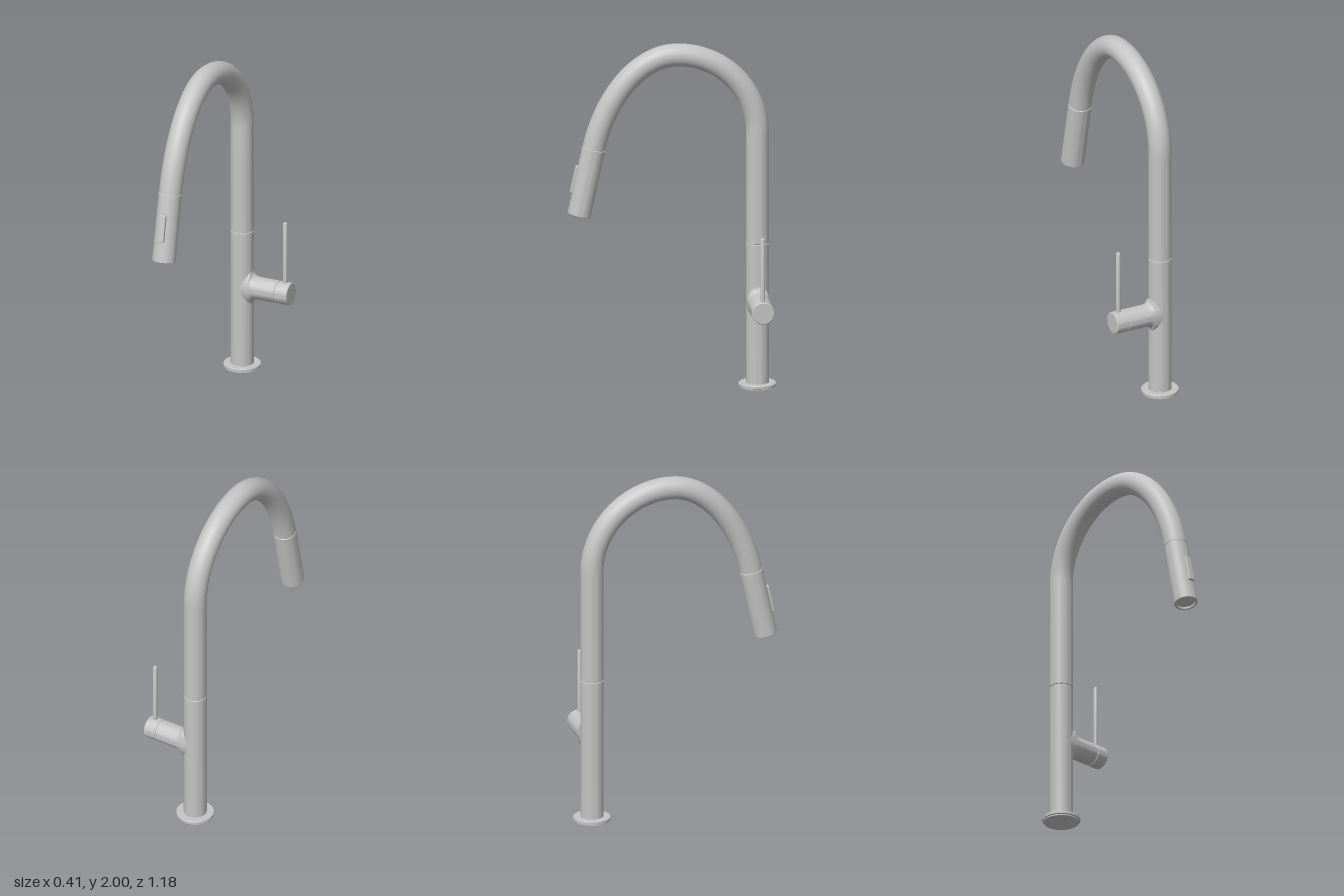
import * as THREE from 'three';
import { toCreasedNormals } from 'three/addons/utils/BufferGeometryUtils.js';
import { RoundedBoxGeometry } from 'three/addons/geometries/RoundedBoxGeometry.js';

const X = -0.101, Z = -0.48, R = 0.065; // column axis and pipe radius

export function createModel() {
  const group = new THREE.Group();
  const metal = new THREE.MeshStandardMaterial({ color: 0xc4c4c4 });
  metal.name = 'brushedMetal';

  const add = (name, geometry, parent = group) => {
    const mesh = new THREE.Mesh(geometry, metal);
    mesh.name = name;
    parent.add(mesh);
    return mesh;
  };
  const lathe = (profile) =>
    new THREE.LatheGeometry(profile.map(([r, y]) => new THREE.Vector2(r, y)), 48);
  const crease = (geometry) => toCreasedNormals(geometry, 0.6);
  // fine V-shaped seam at height y
  const seam = (r, y) => [[r, y - 0.003], [r - 0.004, y - 0.001], [r - 0.004, y + 0.001], [r, y + 0.003]];

  // Base flange with a small undercut
  add('baseFlange', crease(lathe([
    [0, 0], [0.1, 0], [0.1, 0.007], [0.107, 0.01], [0.107, 0.022], [0.103, 0.026], [0.05, 0.026],
  ]))).position.set(X, 0, Z);

  // Upright column, with the seam between body and swivel spout
  add('column', crease(lathe([
    [R, 0.02], ...seam(R, 0.835), [R, 1.475],
  ]))).position.set(X, 0, Z);

  // Spout: quarter arc up to the top, then a longer sweep down to the spray head
  const point = (z, y) => new THREE.Vector3(X, y, z);
  const spout = new THREE.CurvePath();
  spout.add(new THREE.CubicBezierCurve3(
    point(Z, 1.475), point(Z, 1.729), point(-0.274, 1.935), point(-0.02, 1.935)));
  spout.add(new THREE.CubicBezierCurve3(
    point(-0.02, 1.935), point(0.2, 1.935), point(0.386, 1.685), point(0.446, 1.408)));
  add('spout', new THREE.TubeGeometry(spout, 96, R, 48));

  // Pull-out spray head, built along its own axis from the outlet upwards
  const head = new THREE.Group();
  head.name = 'sprayHead';
  head.position.set(X, 1.022, 0.53);
  head.rotation.x = -0.2136;
  group.add(head);
  const H = 0.067;
  add('sprayBody', crease(lathe([
    [0, 0.012], [0.052, 0.012], [0.054, 0], [H - 0.003, 0], [H, 0.003],
    [0.066, 0.39], [0.062, 0.392], [0.062, 0.395], [R, 0.397], [R, 0.402],
  ])), head);
  add('sprayButton', new RoundedBoxGeometry(0.038, 0.158, 0.03, 3, 0.005), head)
    .position.set(0, 0.197, H - 0.003);

  // Side arm; its root is stretched vertically to blend into the column
  const fillet = 0.035, armR = 0.064;
  const root = [];
  for (let i = 0; i <= 8; i++) root.push([armR, R + fillet * (i / 8) ** 2]);
  const arm = lathe([
    [armR, 0.01], ...root, ...seam(armR, 0.228),
    [armR, 0.302], [armR - 0.004, 0.306], [0, 0.306],
  ]);
  const p = arm.attributes.position;
  for (let i = 0; i < p.count; i++) {
    const d = THREE.MathUtils.clamp(p.getY(i) - R, 0, fillet);
    const rise = fillet - Math.sqrt(fillet ** 2 - (fillet - d) ** 2);
    p.setX(i, p.getX(i) * (1 + rise / armR));
  }
  const armMesh = add('handleArm', crease(arm));
  armMesh.position.set(X, 0.496, Z);
  armMesh.rotation.z = -Math.PI / 2;

  // Thin lever rod with a softened tip
  add('leverRod', crease(lathe([
    [0.0125, 0.53], [0.0125, 0.92], [0.01, 0.924], [0, 0.925],
  ]))).position.set(0.168, 0, Z);

  return group;
}
